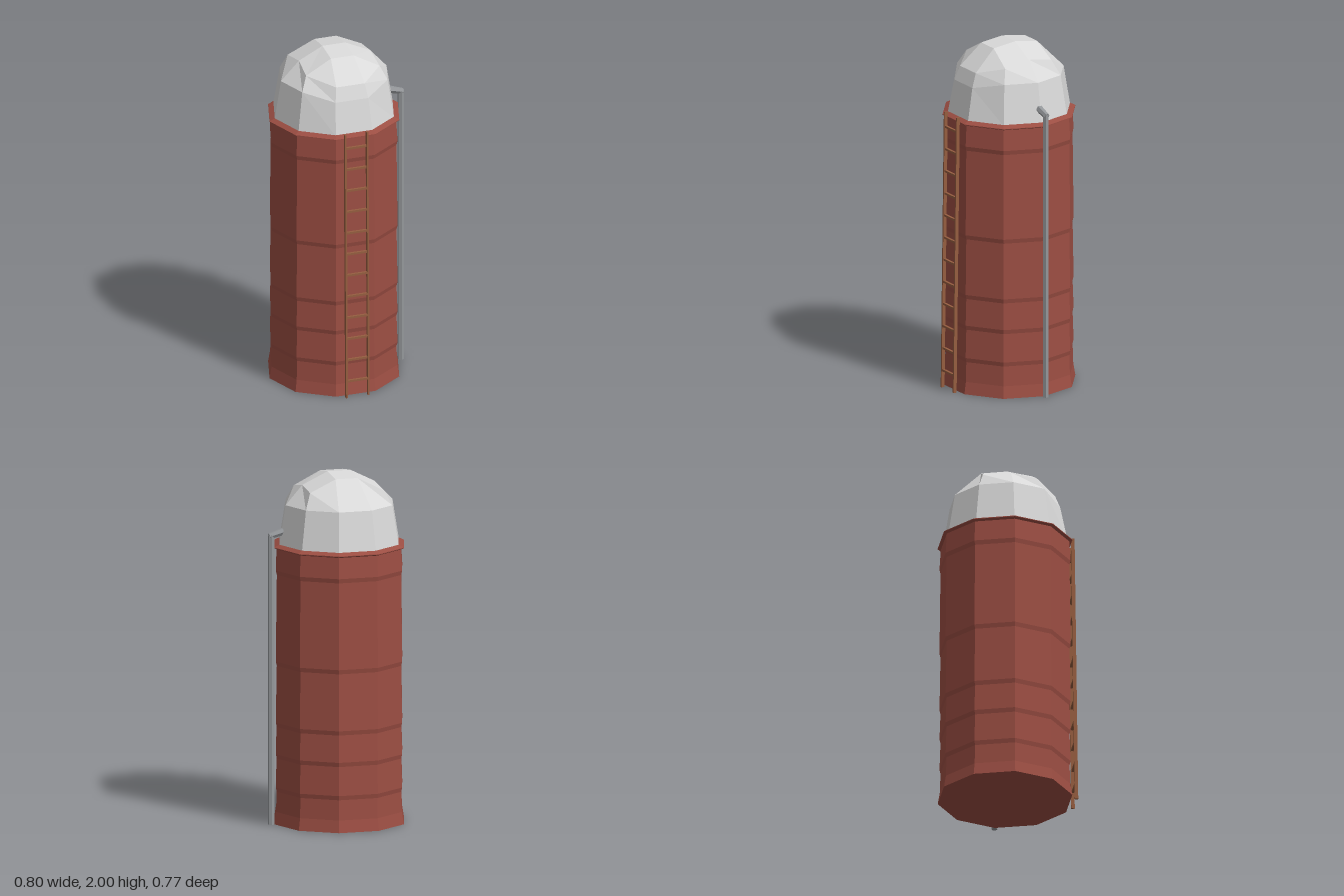
import * as THREE from 'three';

const CX = -0.017, CZ = -0.021; // axis of the tower
const paint = (name, color) =>
  Object.assign(new THREE.MeshStandardMaterial({ color, flatShading: true }), { name });

export function createModel() {
  const red = paint('barn red', 0x9c4e43);
  const white = paint('dome light grey', 0xd9d9d9);
  const steel = paint('pipe grey', 0x94979a);
  const wood = paint('ladder brown', 0x965e40);

  const model = new THREE.Group();
  model.name = 'silo';
  const add = (name, geometry, material, parent = model) => {
    const mesh = new THREE.Mesh(geometry, material);
    mesh.name = name;
    parent.add(mesh);
    return mesh;
  };
  // Ten-sided turned part with corners on the x axis
  const turned = (name, pts, material) => {
    const g = new THREE.LatheGeometry(pts.map(p => new THREE.Vector2(...p)), 10, Math.PI / 2);
    return add(name, g.translate(CX, 0, CZ), material);
  };

  // Tower wall: flared foot, closed base and a small step at each seam
  const wall = [[0, 0], [0.383, 0], [0.371, 0.07]];
  for (const y of [0.2, 0.39, 0.57, 0.92, 1.44]) wall.push([0.367, y - 0.015], [0.373, y + 0.01]);
  wall.push([0.365, 1.58]);
  turned('wall', wall, red);

  // Thin eave around the top of the wall
  turned('eave', [[0.36, 1.568], [0.383, 1.578], [0.383, 1.582], [0.345, 1.6]], red);

  // Dome: four rings of ten corners, closed by two quads along the ridge
  const ring = (r, y, frontY) => Array.from({ length: 10 }, (_, i) => {
    const a = i * Math.PI / 5, front = i === 2 || i === 3;
    return [CX + r * Math.cos(a), front ? frontY : y, CZ + r * Math.sin(a)];
  });
  const shoulder = [
    [0.2, 1.93, -0.02], [0.2, 1.9, 0.135], [0.07, 1.86, 0.25], [-0.1, 1.86, 0.25], [-0.235, 1.9, 0.125],
    [-0.225, 1.93, -0.02], [-0.235, 1.9, -0.18], [-0.08, 1.98, -0.165], [0.05, 1.98, -0.165], [0.2, 1.91, -0.165],
  ];
  const ridgeR = [0.05, 2, -0.02], ridgeL = [-0.085, 2, -0.02];
  const frontR = [0.05, 1.98, 0.12], frontL = [-0.085, 1.98, 0.12];
  const backR = shoulder[8], backL = shoulder[7];
  const crown = [ridgeR, frontR, frontR, frontL, frontL, ridgeL, backL, backL, backR, backR];
  const rings = [ring(0.353, 1.59, 1.59), ring(0.315, 1.82, 1.78), shoulder, crown];
  const verts = [];
  const tri = (a, b, c) => {
    if (a !== b && b !== c && c !== a) verts.push(...a, ...b, ...c);
  };
  const quad = (a, b, c, d) => { tri(a, b, c); tri(a, c, d); };
  for (let k = 0; k < 3; k++) {
    for (let i = 0; i < 10; i++) {
      const j = (i + 1) % 10;
      quad(rings[k][i], rings[k + 1][i], rings[k + 1][j], rings[k][j]);
    }
  }
  quad(ridgeR, ridgeL, frontL, frontR);
  quad(backR, backL, ridgeL, ridgeR);
  const domeGeo = new THREE.BufferGeometry();
  domeGeo.setAttribute('position', new THREE.Float32BufferAttribute(verts, 3));
  domeGeo.computeVertexNormals();
  add('dome', domeGeo, white);

  // Ladder leaning slightly against the front
  const ladder = new THREE.Group();
  ladder.name = 'ladder';
  model.add(ladder);
  const lean = y => 0.374 - 0.021 * y / 1.61;
  for (const x of [-0.084, 0.046]) {
    const rail = new THREE.BoxGeometry(0.01, 1.61, 0.02);
    const p = rail.attributes.position;
    for (let i = 0; i < p.count; i++) {
      const y = p.getY(i) + 0.805;
      p.setXYZ(i, p.getX(i) + x, y, p.getZ(i) + lean(y));
    }
    add('ladderRail', rail, wood, ladder);
  }
  for (let i = 0; i < 12; i++) {
    const y = 0.1 + i * 0.1295;
    add('rung', new THREE.BoxGeometry(0.125, 0.012, 0.014), wood, ladder).position.set(-0.019, y, lean(y));
  }

  // Filling pipe up the side with a bent spout into the dome
  const tube = (name, from, to, r0, r1) => {
    const a = new THREE.Vector3(...from), b = new THREE.Vector3(...to);
    const d = b.clone().sub(a);
    const mesh = add(name, new THREE.CylinderGeometry(r1, r0, d.length(), 6), steel);
    mesh.position.copy(a).add(b).multiplyScalar(0.5);
    mesh.quaternion.setFromUnitVectors(new THREE.Vector3(0, 1, 0), d.normalize());
  };
  tube('pipe', [0.383, 0, -0.02], [0.383, 1.655, -0.02], 0.018, 0.018);
  tube('pipeSpout', [0.394, 1.648, -0.02], [0.31, 1.672, -0.02], 0.017, 0.022);

  return model;
}
